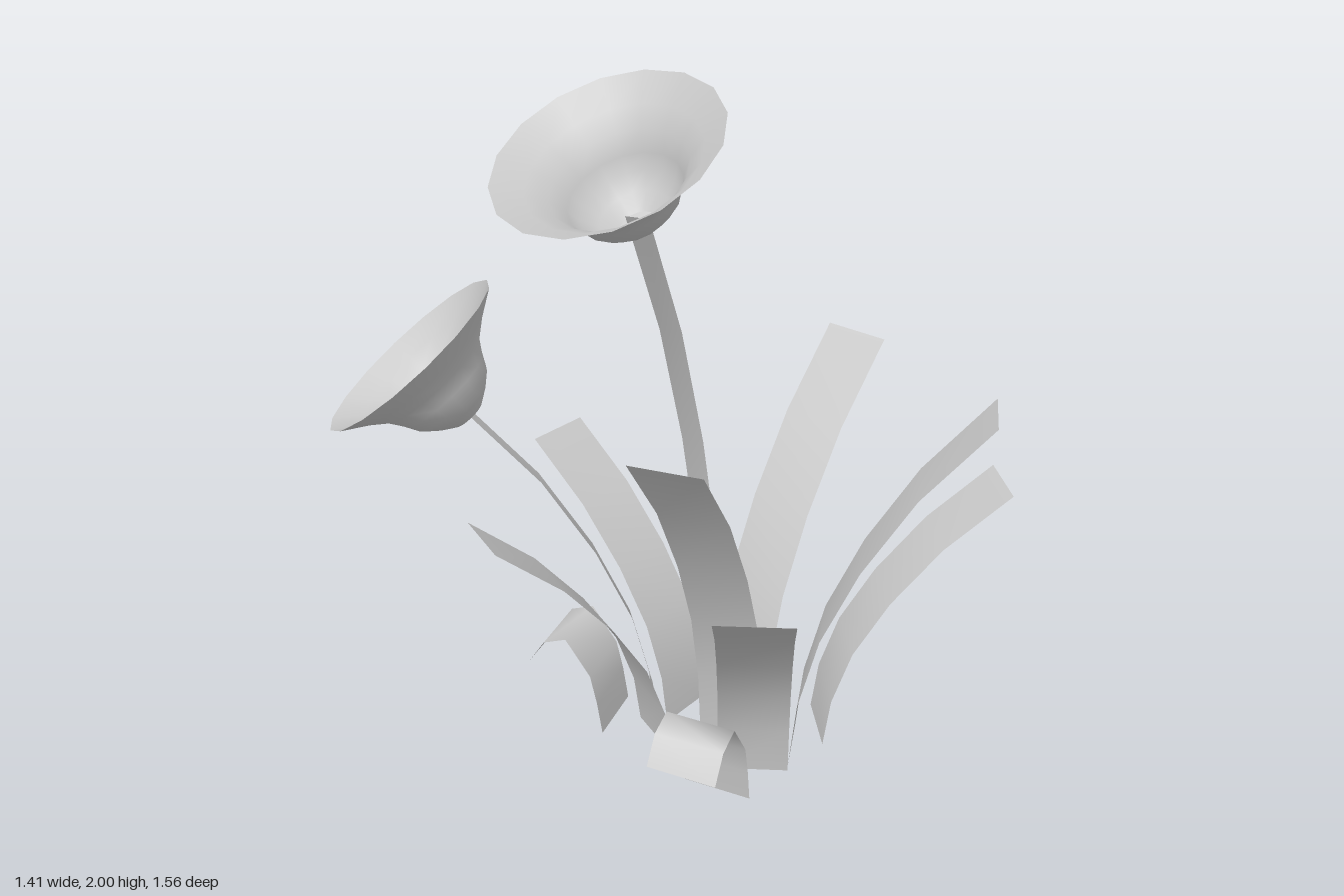
import * as THREE from 'three';

const material = new THREE.MeshStandardMaterial({ color: 0xcccccc, side: THREE.DoubleSide });

// Side profiles as [reach, height]
const BEND = [[0, 0], [0.02, 0.185], [0.075, 0.385], [0.175, 0.59], [0.315, 0.8], [0.5, 1]];
const CURL = [[0, 0], [0.015, 0.1], [0.035, 0.19], [0.11, 0.3], [0.18, 0.275], [0.23, 0.2]];

// Flat ribbon of constant width that follows a profile from (x, z) towards (dx, dz)
function ribbon(name, profile, width, height, [x, z, dx, dz]) {
  const n = profile.length - 1;
  const geometry = new THREE.PlaneGeometry(width, 1, 1, n);
  const pos = geometry.attributes.position;
  const length = Math.hypot(dx, dz);
  const ux = dx / length, uz = dz / length;
  for (let i = 0; i < pos.count; i++) {
    const [reach, y] = profile[n - Math.floor(i / 2)];
    const side = pos.getX(i);
    pos.setXYZ(i, x + ux * reach + uz * side, y * height, z + uz * reach - ux * side);
  }
  geometry.computeVertexNormals();
  const mesh = new THREE.Mesh(geometry, material);
  mesh.name = name;
  return mesh;
}

// Bell-shaped flower head with a small closed base, opening along an axis
function flowerHead(name, base, axis) {
  const cup = [[0.045, 0], [0.085, 0.028], [0.12, 0.06], [0.138, 0.095], [0.165, 0.137], [0.21, 0.175], [0.275, 0.22]];
  const head = new THREE.Group();
  head.name = name;
  const bell = new THREE.Mesh(
    new THREE.LatheGeometry(cup.map(([r, y]) => new THREE.Vector2(r, y)), 16), material);
  bell.name = 'petalBell';
  const cap = new THREE.Mesh(new THREE.CircleGeometry(0.045, 16).rotateX(-Math.PI / 2), material);
  cap.name = 'bellBase';
  head.add(bell, cap);
  head.position.set(...base);
  head.quaternion.setFromUnitVectors(new THREE.Vector3(0, 1, 0), new THREE.Vector3(...axis).normalize());
  return head;
}

export function createModel() {
  const plant = new THREE.Group();
  plant.name = 'floweringPlant';

  // Leaves: base x, z and leaning direction x, z
  const tall = [[0.02, -0.21, 0, -1], [0.232, -0.21, 0.413, -0.275], [0.08, -0.118, 0.37, 0.93]];
  const medium = [[0.22, -0.34, 0.655, -0.756], [-0.12, -0.14, -0.493, 0.045],
    [0.225, -0.045, 0.32, 0.38], [-0.09, 0.03, -0.155, 0.465]];
  const curled = [[-0.25, 0.04, -0.21, 0.09], [0.21, 0.09, 0.07, 0.22]];
  tall.forEach((p, i) => plant.add(ribbon(`tallLeaf${i + 1}`, BEND, 0.2, 1.1, p)));
  medium.forEach((p, i) => plant.add(ribbon(`mediumLeaf${i + 1}`, BEND, 0.2, 0.79, p)));
  curled.forEach((p, i) => plant.add(ribbon(`curledLeaf${i + 1}`, CURL, 0.2, 1, p)));

  // Flower stems
  plant.add(ribbon('tallStem', BEND, 0.06, 1.69, [-0.025, -0.157, 0.175, 0.47]));
  plant.add(ribbon('shortStem', BEND, 0.06, 1.1, [-0.087, 0.022, -0.28, 0.41]));

  // Flower heads
  plant.add(flowerHead('tallFlower', [0.15, 1.672, 0.308], [0.05, 0.87, 0.48]));
  plant.add(flowerHead('shortFlower', [-0.362, 1.083, 0.431], [-0.45, 0.77, 0.45]));
  return plant;
}
